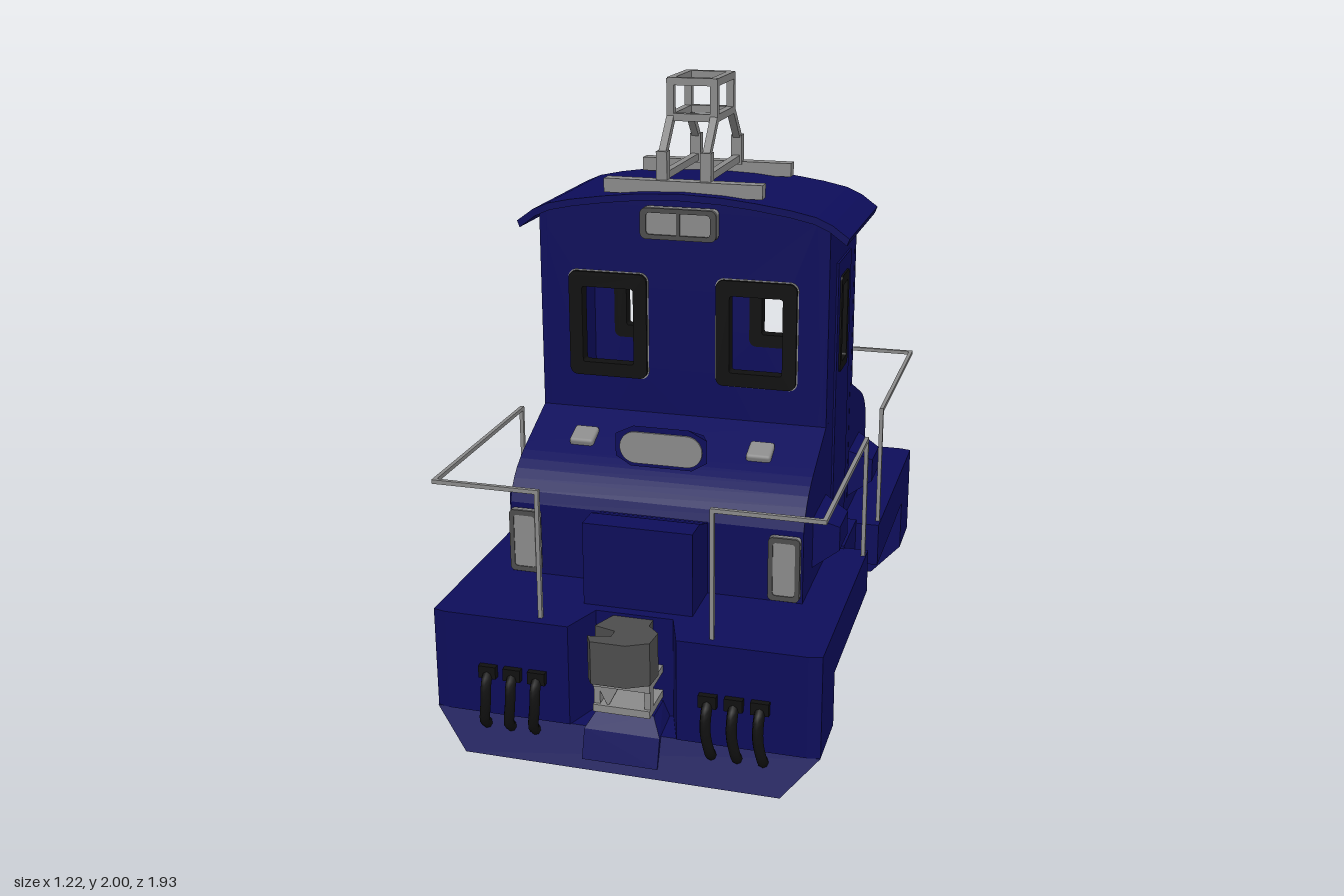
import * as THREE from 'three';
import { RoundedBoxGeometry } from 'three/addons/geometries/RoundedBoxGeometry.js';
import { ConvexGeometry } from 'three/addons/geometries/ConvexGeometry.js';

const mat = (name, color) => {
  const m = new THREE.MeshStandardMaterial({ color });
  m.name = name;
  return m;
};
const navy = mat('navy paint', 0x0d0d5a);
const grey = mat('light grey', 0x8a8a8a);
const steel = mat('dark steel', 0x4c4c4c);
const black = mat('black rubber', 0x101010);

const V = (x, y, z) => new THREE.Vector3(x, y, z);

function add(parent, name, geometry, material, x = 0, y = 0, z = 0) {
  const m = new THREE.Mesh(geometry, material);
  m.name = name;
  m.position.set(x, y, z);
  parent.add(m);
  return m;
}

// Box given by its limits on each axis
function box(parent, name, material, [x0, x1], [y0, y1], [z0, z1]) {
  return add(parent, name, new THREE.BoxGeometry(x1 - x0, y1 - y0, z1 - z0), material,
    (x0 + x1) / 2, (y0 + y1) / 2, (z0 + z1) / 2);
}

// Square bar between two points
function bar(parent, name, material, a, b, t) {
  const m = add(parent, name, new THREE.BoxGeometry(t, t, a.distanceTo(b) + t * 0.8), material);
  m.position.copy(a).add(b).multiplyScalar(0.5);
  m.lookAt(b);
  return m;
}

const poly = pts => new THREE.Shape(pts.map(p => new THREE.Vector2(...p)));
const mirrorX = pts => [...pts, ...pts.filter(p => p[0] !== 0).reverse().map(([x, y]) => [-x, y])];

function roundRect(Type, x0, x1, y0, y1, r) {
  const s = new Type();
  s.moveTo(x0 + r, y0);
  s.absarc(x1 - r, y0 + r, r, -Math.PI / 2, 0);
  s.absarc(x1 - r, y1 - r, r, 0, Math.PI / 2);
  s.absarc(x0 + r, y1 - r, r, Math.PI / 2, Math.PI);
  s.absarc(x0 + r, y0 + r, r, Math.PI, Math.PI * 1.5);
  s.closePath();
  return s;
}

const extrude = (shape, depth) =>
  new THREE.ExtrudeGeometry(shape, { depth, bevelEnabled: false, curveSegments: 6 });

// (z, y) profile extruded across x, centred
const sideExtrude = (shape, width) =>
  extrude(shape, width).rotateY(-Math.PI / 2).translate(width / 2, 0, 0);

// Everything that repeats at both ends, built facing +z
function buildEnd(isBack) {
  const g = new THREE.Group();
  g.name = isBack ? 'backEnd' : 'frontEnd';

  // Deck and end skirt with coupler pocket
  box(g, 'deck', navy, [-0.61, 0.61], [0.3, 0.45], [0.11, 0.76]);
  box(g, 'skirtInner', navy, [-0.61, 0.61], [0.12, 0.45], [0.7, 0.78]);
  for (const s of [-1, 1])
    add(g, 'skirtSide', new ConvexGeometry([
      ...[0.12, 0.45].flatMap(y => [V(s * 0.61, y, 0.77), V(s * 0.61, y, 0.9), V(s * 0.57, y, 0.91),
        V(s * 0.12, y, 0.77), V(s * 0.17, y, 0.91)])]), navy);
  add(g, 'skirtFlare', new ConvexGeometry([-1, 1].flatMap(s => [
    V(s * 0.61, 0.12, 0.7), V(s * 0.61, 0.12, 0.905), V(s * 0.5, 0, 0.7), V(s * 0.5, 0, 0.955)])), navy);
  add(g, 'pocketLip', new ConvexGeometry([-1, 1].flatMap(s => [
    V(s * 0.12, 0.03, 0.9), V(s * 0.12, 0.03, 0.948), V(s * 0.12, 0.12, 0.92),
    V(s * 0.09, 0.17, 0.88), V(s * 0.09, 0.17, 0.78), V(s * 0.12, 0.1, 0.78)])), navy);

  // Coupler
  const knuckle = poly([[-0.06, 0.76], [0.06, 0.76], [0.06, 0.82], [0.1, 0.86], [0.095, 0.93], [0.03, 0.965],
    [-0.08, 0.965], [-0.1, 0.93], [-0.03, 0.915], [-0.03, 0.88], [-0.1, 0.86]]);
  add(g, 'coupler', extrude(knuckle, 0.14).rotateX(Math.PI / 2), steel, 0, 0.44, 0);
  for (const y of [0.195, 0.28]) box(g, 'couplerBracketBar', grey, [-0.09, 0.09], [y - 0.012, y + 0.012], [0.78, 0.92]);
  for (const s of [-1, 1]) box(g, 'couplerBracketPost', grey, [s * 0.08 - 0.01, s * 0.08 + 0.01], [0.19, 0.29], [0.88, 0.91]);
  add(g, 'couplerBracketGusset', extrude(poly([[-0.08, 0.27], [-0.045, 0.2], [-0.01, 0.27]]), 0.02), grey, 0, 0, 0.89);

  // Rounded hood
  const hood = new THREE.Shape();
  hood.moveTo(0.2, 0.45);
  hood.lineTo(0.57, 0.45);
  hood.lineTo(0.57, 0.69);
  hood.bezierCurveTo(0.55, 0.77, 0.48, 0.81, 0.41, 0.84);
  hood.lineTo(0.235, 0.92);
  hood.lineTo(0.2, 0.92);
  add(g, 'hood', sideExtrude(hood, 0.96), navy);

  // Nose box
  const nose = poly([[0.5, 0.45], [0.745, 0.45], [0.745, 0.72], [0.66, 0.72], [0.58, 0.69], [0.5, 0.69]]);
  add(g, 'noseBox', sideExtrude(nose, 0.35), navy);
  if (isBack) box(g, 'nosePanel', steel, [-0.16, 0.16], [0.46, 0.7], [0.743, 0.75]);

  // Centre lamp housing and oval lens
  add(g, 'lampHousing', new ConvexGeometry([-1, 1].flatMap(s => [
    V(s * 0.09, 0.955, 0.485), V(s * 0.15, 0.925, 0.485), V(s * 0.15, 0.85, 0.485), V(s * 0.1, 0.82, 0.485),
    V(s * 0.1, 0.89, 0.34), V(s * 0.1, 0.82, 0.34)])), navy);
  add(g, 'lampLens', extrude(roundRect(THREE.Shape, -0.135, 0.135, 0.832, 0.936, 0.051), 0.008), grey, 0, 0, 0.483);

  for (const s of [-1, 1]) {
    // Headlamp with raised rim
    add(g, 'headlamp', new RoundedBoxGeometry(0.1, 0.21, 0.03, 2, 0.012), grey, s * 0.425, 0.57, 0.582);
    const rim = roundRect(THREE.Shape, -0.05, 0.05, -0.105, 0.105, 0.015);
    rim.holes.push(roundRect(THREE.Path, -0.035, 0.035, -0.088, 0.088, 0.01));
    add(g, 'headlampRim', extrude(rim, 0.012), steel, s * 0.425, 0.57, 0.588);

    // Marker lamp on the hood slope
    const marker = add(g, 'markerLamp', new RoundedBoxGeometry(0.08, 0.03, 0.08, 2, 0.01), grey, s * 0.295, 0.862, 0.37);
    marker.rotation.x = 0.35;

    // Tapered side vent
    add(g, 'sideVent', new ConvexGeometry([
      ...[[0.21, 0.505], [0.425, 0.505], [0.425, 0.68], [0.21, 0.68]].map(([z, y]) => V(s * 0.475, y, z)),
      ...[[0.245, 0.56], [0.385, 0.56], [0.385, 0.64], [0.245, 0.64]].map(([z, y]) => V(s * 0.56, y, z))]), navy);

    // Handrail: two posts and an L-shaped top
    const rail = [V(s * 0.27, 0.45, 0.87), V(s * 0.27, 0.86, 0.87), V(s * 0.6, 0.86, 0.87),
      V(s * 0.6, 0.86, 0.155), V(s * 0.6, 0.45, 0.155)];
    for (let i = 0; i < 4; i++) bar(g, 'handrail', grey, rail[i], rail[i + 1], 0.013);

    // Brake hoses
    for (const x of [0.27, 0.35, 0.43]) {
      const curve = new THREE.CatmullRomCurve3([V(s * x, 0.27, 0.905), V(s * x, 0.245, 0.935),
        V(s * x, 0.18, 0.947), V(s * (x + 0.01), 0.11, 0.935), V(s * (x + 0.01), 0.085, 0.91)]);
      add(g, 'hose', new THREE.TubeGeometry(curve, 12, 0.017, 8), black);
      box(g, 'hoseFitting', black, [s * x - 0.028, s * x + 0.028], [0.25, 0.29], [0.905, 0.93]);
    }
  }

  // Cab end wall with two window openings
  const wall = poly(mirrorX([[0.48, 0.45], [0.48, 1.565], [0.44, 1.585], [0.28, 1.615], [0.14, 1.64]]));
  for (const s of [-1, 1]) {
    const cx = s * 0.248;
    wall.holes.push(roundRect(THREE.Path, cx - 0.1, cx + 0.1, 1.07, 1.35, 0.01));
    const frame = roundRect(THREE.Shape, cx - 0.132, cx + 0.132, 1.035, 1.385, 0.025);
    frame.holes.push(roundRect(THREE.Path, cx - 0.087, cx + 0.087, 1.08, 1.335, 0.008));
    add(g, 'windowFrame', extrude(frame, 0.045), black, 0, 0, 0.21);
    const trim = roundRect(THREE.Shape, cx - 0.136, cx + 0.136, 1.031, 1.389, 0.028);
    trim.holes.push(roundRect(THREE.Path, cx - 0.12, cx + 0.12, 1.047, 1.373, 0.015));
    add(g, 'windowTrim', extrude(trim, 0.006), grey, 0, 0, 0.237);
  }
  add(g, 'cabEndWall', extrude(wall, 0.025), navy, 0, 0, 0.215);

  // Headlight under the roof edge
  add(g, 'roofLight', new RoundedBoxGeometry(0.25, 0.1, 0.05, 2, 0.018), grey, 0, 1.562, 0.255);
  const surround = roundRect(THREE.Shape, -0.125, 0.125, 1.512, 1.612, 0.02);
  surround.holes.push(roundRect(THREE.Path, -0.105, 0.105, 1.527, 1.597, 0.012));
  add(g, 'roofLightSurround', extrude(surround, 0.02), steel, 0, 0, 0.266);
  if (!isBack) box(g, 'roofLightDivider', steel, [-0.006, 0.006], [1.525, 1.6], [0.27, 0.283]);

  // Pantograph foot rail along the roof
  box(g, 'pantographRail', grey, [-0.26, 0.26], [1.645, 1.69], [0.188, 0.233]);
  return g;
}

function buildPantograph() {
  const g = new THREE.Group();
  g.name = 'pantograph';
  const t = 0.024;
  for (const x of [-0.072, 0.072]) {
    for (const s of [-1, 1]) {
      box(g, 'foot', grey, [x - 0.018, x + 0.018], [1.68, 1.78], [s * 0.2 - 0.018, s * 0.2 + 0.018]);
      bar(g, 'arm', grey, V(x, 1.775, s * 0.195), V(x, 1.875, s * 0.105), t);
      bar(g, 'upright', grey, V(x, 1.875, s * 0.105), V(x, 1.988, s * 0.105), t);
    }
    for (const [y, z] of [[1.7, 0.2], [1.875, 0.1], [1.988, 0.1]])
      bar(g, 'sideBar', grey, V(x, y, -z), V(x, y, z), t);
  }
  for (const s of [-1, 1])
    for (const y of [1.875, 1.988])
      bar(g, 'crossBar', grey, V(-0.07, y, s * 0.105), V(0.07, y, s * 0.105), t);
  return g;
}

export function createModel() {
  const model = new THREE.Group();
  model.name = 'locomotive';

  const front = buildEnd(false);
  const back = buildEnd(true);
  back.rotation.y = Math.PI;
  model.add(front, back);

  // Underframe and narrow middle of the deck
  box(model, 'underframe', navy, [-0.5, 0.5], [0.26, 0.32], [-0.57, 0.57]);
  box(model, 'middleDeck', navy, [-0.53, 0.53], [0.3, 0.46], [-0.12, 0.12]);

  // Cab sides with door and window
  for (const s of [-1, 1]) {
    const side = new THREE.Group();
    side.name = s > 0 ? 'leftCabSide' : 'rightCabSide';
    const wall = poly([[-0.24, 0.45], [0.24, 0.45], [0.24, 1.57], [-0.24, 1.57]]);
    wall.holes.push(roundRect(THREE.Path, -0.05, 0.07, 1.07, 1.36, 0.01));
    add(side, 'cabSideWall', sideExtrude(wall, 0.025), navy, s * 0.467, 0, 0);
    const door = poly([[-0.115, 0.46], [0.115, 0.46], [0.115, 1.43], [-0.115, 1.43]]);
    door.holes.push(roundRect(THREE.Path, -0.05, 0.07, 1.07, 1.36, 0.01));
    add(side, 'door', sideExtrude(door, 0.008), navy, s * 0.482, 0, 0);
    const frame = roundRect(THREE.Shape, -0.055, 0.077, 1.055, 1.378, 0.015);
    frame.holes.push(roundRect(THREE.Path, -0.03, 0.05, 1.085, 1.345, 0.008));
    add(side, 'doorWindowFrame', sideExtrude(frame, 0.04), black, s * 0.472, 0, 0);
    model.add(side);
  }

  // Arched roof shell
  const arch = mirrorX([[0.545, 1.545], [0.49, 1.585], [0.44, 1.607], [0.36, 1.624], [0.25, 1.64], [0.14, 1.652], [0, 1.658]]);
  const under = arch.map(([x, y]) => [x * 0.985, y - 0.022]).reverse();
  add(model, 'roof', extrude(poly([...arch, ...under]), 0.535), navy, 0, 0, -0.2625);

  model.add(buildPantograph());
  return model;
}
